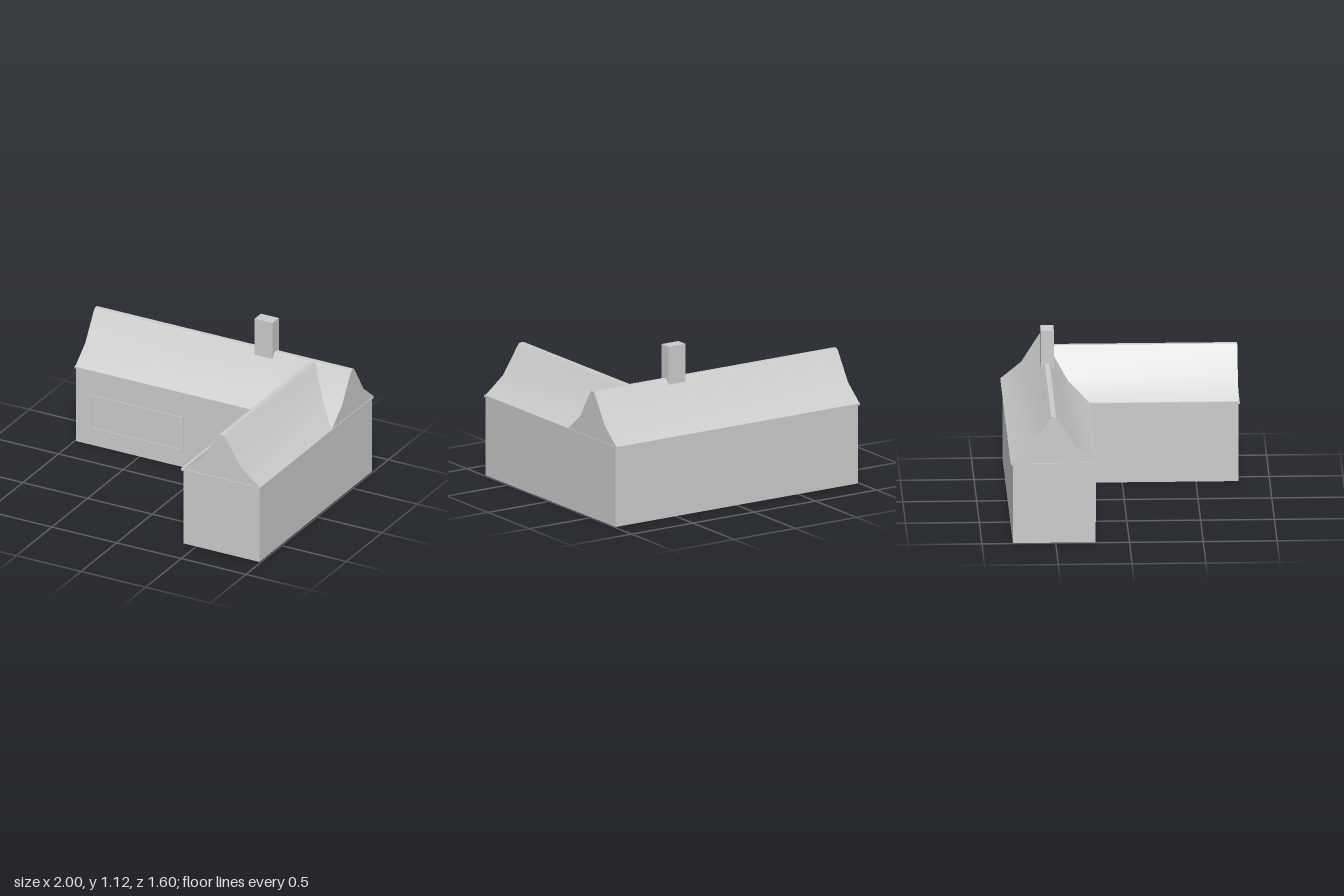
import * as THREE from 'three';
import { toCreasedNormals } from 'three/addons/utils/BufferGeometryUtils.js';

const material = new THREE.MeshStandardMaterial({ color: 0xcccccc, side: THREE.DoubleSide });

function add(parent, name, geometry) {
  const mesh = new THREE.Mesh(geometry, material);
  mesh.name = name;
  parent.add(mesh);
  return mesh;
}

// Box given by its minimum and maximum corners
function box(parent, name, [x0, y0, z0], [x1, y1, z1]) {
  const mesh = add(parent, name, new THREE.BoxGeometry(x1 - x0, y1 - y0, z1 - z0));
  mesh.position.set((x0 + x1) / 2, (y0 + y1) / 2, (z0 + z1) / 2);
  return mesh;
}

function rectangle(Type, x0, y0, x1, y1) {
  const path = new Type();
  path.moveTo(x0, y0).lineTo(x1, y0).lineTo(x1, y1).lineTo(x0, y1);
  path.closePath();
  return path;
}

const EAVE = 0.565;

// Flared roof with a narrow flat ridge, extruded along z
function roofGeometry(length) {
  const half = [[0.292, EAVE], [0.15, 0.682], [0.034, 0.867], [0.016, 0.89]];
  const outline = [...half, ...half.map(([x, y]) => [-x, y]).reverse()];
  const shape = new THREE.Shape(outline.map(([x, y]) => new THREE.Vector2(x, y)));
  const geometry = new THREE.ExtrudeGeometry(shape, { depth: length, bevelEnabled: false });
  return toCreasedNormals(geometry, 0.5);
}

export function createModel() {
  const house = new THREE.Group();
  house.name = 'house';

  // Walls: an L-shaped shell, open underneath
  const walls = new THREE.Group();
  walls.name = 'walls';
  house.add(walls);
  const plan = [[-0.99, -0.79], [-0.99, -0.23], [0.4, -0.23], [0.4, 0.79], [0.99, 0.79], [0.99, -0.79]];
  const wallHeight = 0.555;
  plan.forEach(([x0, z0], i) => {
    const [x1, z1] = plan[(i + 1) % plan.length];
    const wall = add(walls, 'wall', new THREE.PlaneGeometry(Math.hypot(x1 - x0, z1 - z0), wallHeight));
    wall.position.set((x0 + x1) / 2, wallHeight / 2, (z0 + z1) / 2);
    wall.rotation.y = Math.atan2(z0 - z1, x1 - x0);
  });

  // Eaves: a thin L-shaped slab overhanging the walls
  const eavePlan = [[-1, -0.8], [-1, -0.222], [0.385, -0.222], [0.385, 0.797], [0.997, 0.797], [0.997, -0.8]];
  const eaveShape = new THREE.Shape(eavePlan.map(([x, z]) => new THREE.Vector2(x, -z)));
  const eaves = add(house, 'eaves', new THREE.ExtrudeGeometry(eaveShape, { depth: 0.015, bevelEnabled: false }));
  eaves.rotation.x = -Math.PI / 2;
  eaves.position.y = EAVE - 0.015;

  // Roofs: the long main roof and the wing that runs into it
  const mainRoof = add(house, 'mainRoof', roofGeometry(1.985));
  mainRoof.rotation.y = Math.PI / 2;
  mainRoof.position.set(-0.993, 0, -0.513);
  const wingRoof = add(house, 'wingRoof', roofGeometry(1.29));
  wingRoof.position.set(0.695, 0, -0.5);

  box(house, 'chimney', [0.26, 0.8, -0.555], [0.398, 1.12, -0.467]);

  // Front window: raised frame around a recessed pane
  const frameShape = rectangle(THREE.Shape, -0.885, 0.11, -0.16, 0.377);
  frameShape.holes.push(rectangle(THREE.Path, -0.863, 0.132, -0.192, 0.365));
  const frame = add(house, 'windowFrame', new THREE.ExtrudeGeometry(frameShape, { depth: 0.02, bevelEnabled: false }));
  frame.position.z = -0.243;

  box(house, 'door', [0.122, 0, -0.243], [0.257, 0.246, -0.217]);

  return house;
}
